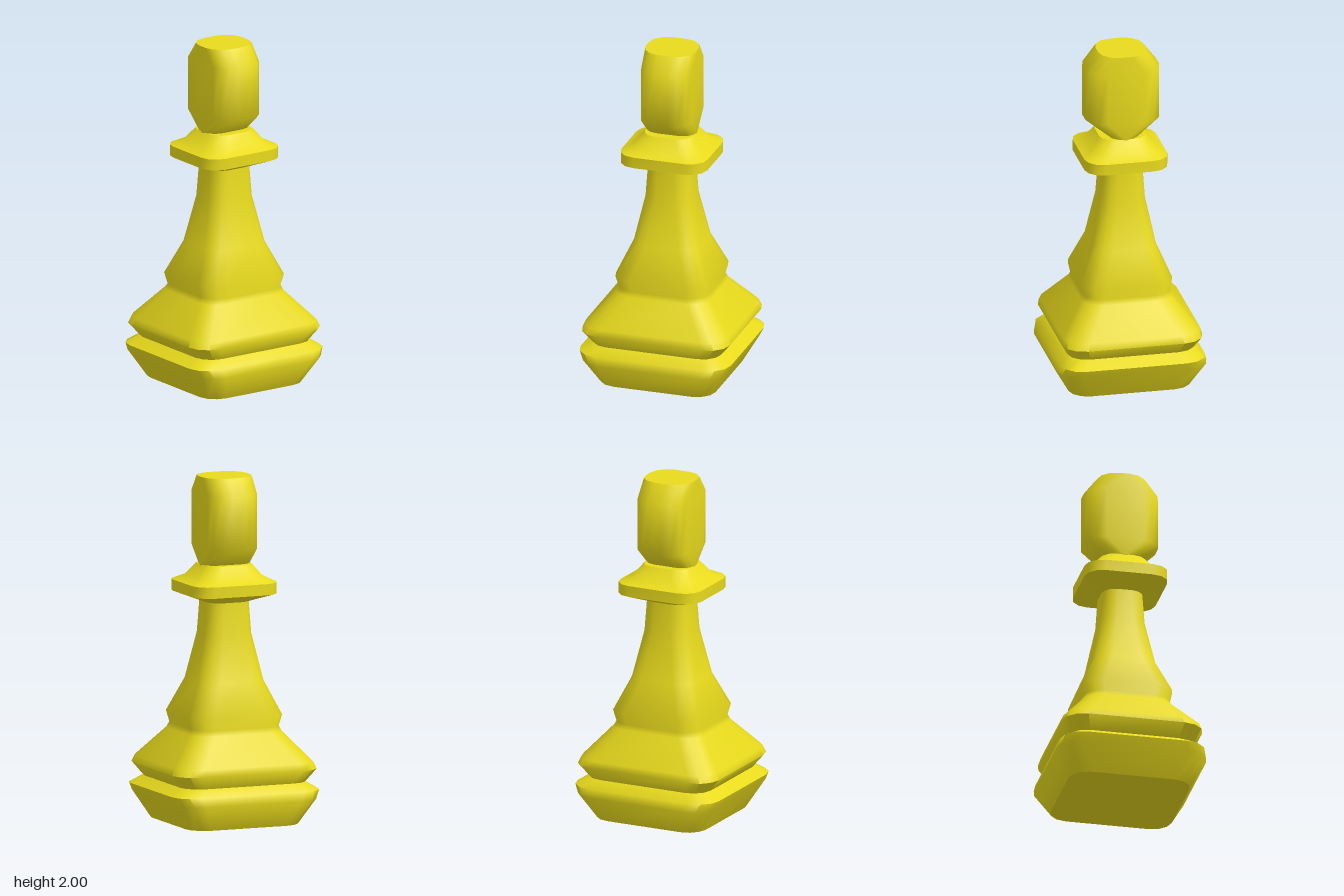
import * as THREE from 'three';
import { mergeGeometries, mergeVertices, toCreasedNormals } from 'three/addons/utils/BufferGeometryUtils.js';

const CORNER_STEPS = 3;

// One horizontal rounded-rectangle section: half width, half depth, corner radius.
function section([y, halfW, halfD, radius]) {
  const r = Math.min(radius, halfW, halfD);
  const points = [];
  for (let corner = 0; corner < 4; corner++) {
    const sx = corner === 0 || corner === 3 ? 1 : -1;
    const sz = corner < 2 ? 1 : -1;
    for (let k = 0; k <= CORNER_STEPS; k++) {
      const angle = (corner + k / CORNER_STEPS) * Math.PI / 2;
      points.push(new THREE.Vector3(
        sx * (halfW - r) + r * Math.cos(angle), y,
        sz * (halfD - r) + r * Math.sin(angle)));
    }
  }
  return points;
}

function triangles(list) {
  return new THREE.BufferGeometry().setFromPoints(list);
}

// Skin stacked sections with soft shoulders, then close both ends with flat caps.
function loft(rows, creaseAngle) {
  const rings = rows.map(section);
  const n = rings[0].length;
  const wall = [];
  for (let i = 0; i < rings.length - 1; i++) {
    for (let j = 0; j < n; j++) {
      const k = (j + 1) % n;
      const a = rings[i][k], b = rings[i][j], c = rings[i + 1][j], d = rings[i + 1][k];
      wall.push(a, b, c, a, c, d);
    }
  }
  const caps = [];
  const bottom = rings[0], top = rings[rings.length - 1];
  for (let k = 1; k < n - 1; k++) {
    caps.push(bottom[0], bottom[k], bottom[k + 1]);
    caps.push(top[0], top[k + 1], top[k]);
  }
  const skin = toCreasedNormals(mergeVertices(triangles(wall)), creaseAngle);
  const ends = triangles(caps);
  ends.computeVertexNormals();
  return mergeGeometries([skin.index ? skin.toNonIndexed() : skin, ends]);
}

export function createModel() {
  const group = new THREE.Group();
  group.name = 'chessPiece';
  const material = new THREE.MeshStandardMaterial({ color: 0xe8da1c });

  function addPart(name, rows) {
    const mesh = new THREE.Mesh(loft(rows, 1.05), material);
    mesh.name = name;
    group.add(mesh);
    return mesh;
  }

  // Foot slab: flares out, then tucks into the groove
  addPart('foot', [
    [0, 0.345, 0.355, 0.11],
    [0.15, 0.43, 0.44, 0.13],
    [0.2, 0.455, 0.425, 0.13],
    [0.245, 0.385, 0.37, 0.11],
  ]);

  // Sloping skirt, waist bead and tapering neck
  addPart('body', [
    [0.245, 0.385, 0.37, 0.11],
    [0.32, 0.445, 0.412, 0.13],
    [0.36, 0.43, 0.4, 0.13],
    [0.53, 0.283, 0.265, 0.11],
    [0.56, 0.27, 0.255, 0.11],
    [0.625, 0.287, 0.268, 0.115],
    [0.82, 0.2, 0.187, 0.1],
    [1.09, 0.142, 0.133, 0.085],
    [1.275, 0.13, 0.121, 0.08],
  ]);

  // Collar plate under the head
  addPart('collar', [
    [1.275, 0.13, 0.121, 0.08],
    [1.325, 0.26, 0.243, 0.105],
    [1.39, 0.26, 0.243, 0.105],
    [1.42, 0.2, 0.187, 0.1],
    [1.49, 0.145, 0.136, 0.085],
  ]);

  // Head: flat-sided across, rounded from front to back
  const head = addPart('head', [
    [1.485, 0.15, 0.08, 0.11],
    [1.59, 0.15, 0.217, 0.11],
    [1.9, 0.15, 0.217, 0.11],
    [2, 0.15, 0.14, 0.11],
  ]);
  head.position.z = -0.004;

  return group;
}
